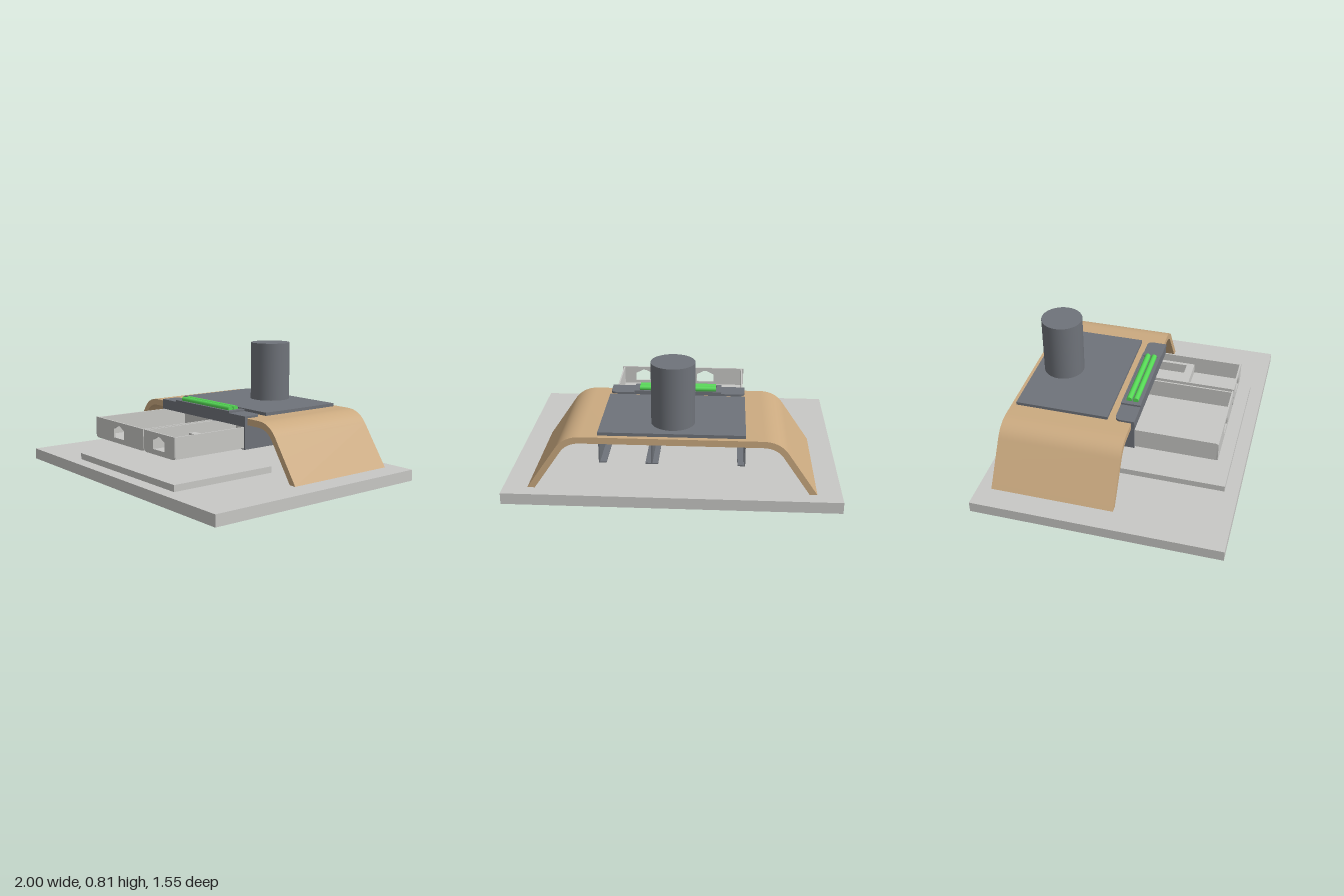
import * as THREE from 'three';
import { toCreasedNormals } from 'three/addons/utils/BufferGeometryUtils.js';

const mat = (name, color) => {
  const m = new THREE.MeshStandardMaterial({ color });
  m.name = name;
  return m;
};

export function createModel() {
  const light = mat('pale grey', 0xc8c8c5);
  const tan = mat('tan wood', 0xcbaa80);
  const dark = mat('slate grey', 0x6f737a);
  const green = mat('bright green', 0x55d855);
  const model = new THREE.Group();
  model.name = 'drawerStand';

  const add = (parent, name, geometry, material) => {
    const mesh = new THREE.Mesh(geometry, material);
    mesh.name = name;
    parent.add(mesh);
    return mesh;
  };
  // box given by its limits on each axis
  const box = (parent, name, material, x0, x1, y0, y1, z0, z1) => {
    const mesh = add(parent, name, new THREE.BoxGeometry(x1 - x0, y1 - y0, z1 - z0), material);
    mesh.position.set((x0 + x1) / 2, (y0 + y1) / 2, (z0 + z1) / 2);
    return mesh;
  };
  const extrude = (shape, depth) => toCreasedNormals(
    new THREE.ExtrudeGeometry(shape, { depth, bevelEnabled: false, curveSegments: 12 }), 0.5);
  const path = (points) => new THREE.Path(points.map(([x, y]) => new THREE.Vector2(x, y)));

  // ground slab and raised step
  box(model, 'base', light, -1, 1, 0, 0.07, -0.775, 0.775);
  box(model, 'step', light, -0.52, 0.52, 0.07, 0.11, -0.04, 0.69);

  // bent bridge
  const arch = new THREE.Shape();
  arch.moveTo(0.855, 0.07);
  arch.lineTo(0.68, 0.327);
  arch.quadraticCurveTo(0.627, 0.405, 0.53, 0.405);
  arch.lineTo(-0.53, 0.405);
  arch.quadraticCurveTo(-0.627, 0.405, -0.68, 0.327);
  arch.lineTo(-0.855, 0.07);
  arch.lineTo(-0.81, 0.07);
  arch.lineTo(-0.65, 0.305);
  arch.quadraticCurveTo(-0.609, 0.365, -0.53, 0.365);
  arch.lineTo(0.53, 0.365);
  arch.quadraticCurveTo(0.609, 0.365, 0.65, 0.305);
  arch.lineTo(0.81, 0.07);
  arch.closePath();
  add(model, 'bridge', extrude(arch, 0.77), tan).position.z = -0.69;

  // plate and column on top
  box(model, 'topPlate', dark, -0.43, 0.43, 0.405, 0.425, -0.66, -0.07);
  add(model, 'column', new THREE.CylinderGeometry(0.13, 0.13, 0.38, 48), dark)
    .position.set(0, 0.615, -0.485);

  // drawer housing: ceiling with hexagonal openings
  const housing = new THREE.Group();
  housing.name = 'drawerHousing';
  model.add(housing);
  const ceiling = new THREE.Shape();
  ceiling.moveTo(-0.43, -0.1);
  ceiling.lineTo(0.43, -0.1);
  ceiling.lineTo(0.43, 0.63);
  ceiling.lineTo(-0.43, 0.63);
  ceiling.closePath();
  for (const x of [-0.28, -0.03, 0.275]) {
    ceiling.holes.push(path([0, 1, 2, 3, 4, 5].map((i) => [
      x + 0.08 * Math.cos(i * Math.PI / 3), 0.45 + 0.08 * Math.sin(i * Math.PI / 3)])));
  }
  const ceilingMesh = add(housing, 'ceiling', extrude(ceiling, 0.01), dark);
  ceilingMesh.rotation.x = -Math.PI / 2;
  ceilingMesh.position.y = 0.355;

  // hanging rails with flanges that carry the drawers
  for (const [x, f0, f1] of [[-0.427, -0.43, -0.385], [0.117, 0.08, 0.155], [0.427, 0.385, 0.43]]) {
    box(housing, 'rail', dark, x - 0.004, x + 0.004, 0.215, 0.36, -0.63, 0.1);
    box(housing, 'railFlange', dark, f0, f1, 0.215, 0.222, -0.63, 0.1);
  }

  // front clip: skirt, rounded ledge and raised lamp cradle
  box(housing, 'skirt', dark, -0.43, 0.43, 0.36, 0.42, 0.08, 0.1);
  const ledge = new THREE.Shape();
  ledge.moveTo(-0.43, -0.09);
  ledge.lineTo(0.43, -0.09);
  ledge.lineTo(0.43, -0.015);
  ledge.quadraticCurveTo(0.43, 0.025, 0.39, 0.025);
  ledge.lineTo(-0.39, 0.025);
  ledge.quadraticCurveTo(-0.43, 0.025, -0.43, -0.015);
  ledge.closePath();
  const ledgeMesh = add(housing, 'ledge', extrude(ledge, 0.013), dark);
  ledgeMesh.rotation.x = -Math.PI / 2;
  ledgeMesh.position.y = 0.407;
  box(housing, 'cradleFloor', dark, -0.28, 0.28, 0.42, 0.424, -0.02, 0.1);
  box(housing, 'cradleFront', dark, -0.28, 0.28, 0.42, 0.432, 0.082, 0.1);
  box(housing, 'cradleBack', dark, -0.28, 0.28, 0.42, 0.432, -0.025, -0.015);
  for (const s of [-1, 1]) {
    box(housing, 'cradleEnd', dark, s * 0.265 - 0.015, s * 0.265 + 0.015, 0.42, 0.432, -0.025, 0.1);
  }

  // two green tubes
  for (const z of [0.018, 0.06]) {
    const tube = add(model, 'greenTube', new THREE.CylinderGeometry(0.018, 0.018, 0.49, 24), green);
    tube.rotation.z = Math.PI / 2;
    tube.position.set(0, 0.437, z);
  }

  // open drawer whose front has rounded lower corners and a finger hole
  const makeDrawer = (name, x0, x1, holeX) => {
    const drawer = new THREE.Group();
    drawer.name = name;
    const r = 0.025, y0 = 0.224, y1 = 0.357, t = 0.01;
    const front = new THREE.Shape();
    front.moveTo(x0 + r, y0);
    front.lineTo(x1 - r, y0);
    front.quadraticCurveTo(x1, y0, x1, y0 + r);
    front.lineTo(x1, y1);
    front.lineTo(x0, y1);
    front.lineTo(x0, y0 + r);
    front.quadraticCurveTo(x0, y0, x0 + r, y0);
    front.holes.push(path([[holeX - 0.06, 0.255], [holeX - 0.06, 0.31], [holeX - 0.01, 0.335],
      [holeX + 0.01, 0.335], [holeX + 0.06, 0.31], [holeX + 0.06, 0.255]]));
    add(drawer, 'drawerFront', extrude(front, t), light).position.z = 0.612;
    const a = x0 + 0.009, b = x1 - 0.009, back = -0.08;
    box(drawer, 'drawerFloor', light, a, b, y0, y0 + t, back, 0.612);
    box(drawer, 'drawerSide', light, a, a + t, y0, y1 - 0.003, back, 0.612);
    box(drawer, 'drawerSide', light, b - t, b, y0, y1 - 0.003, back, 0.612);
    box(drawer, 'drawerBack', light, a, b, y0, y1 - 0.003, back, back + t);
    model.add(drawer);
    return drawer;
  };
  makeDrawer('largeDrawer', -0.432, 0.113, -0.16);
  const small = makeDrawer('smallDrawer', 0.121, 0.432, 0.275);

  // stepped inner compartment of the small drawer
  box(small, 'divider', light, 0.138, 0.415, 0.23, 0.3, 0.255, 0.305);
  box(small, 'innerLedge', light, 0.39, 0.415, 0.23, 0.3, -0.07, 0.255);

  return model;
}
